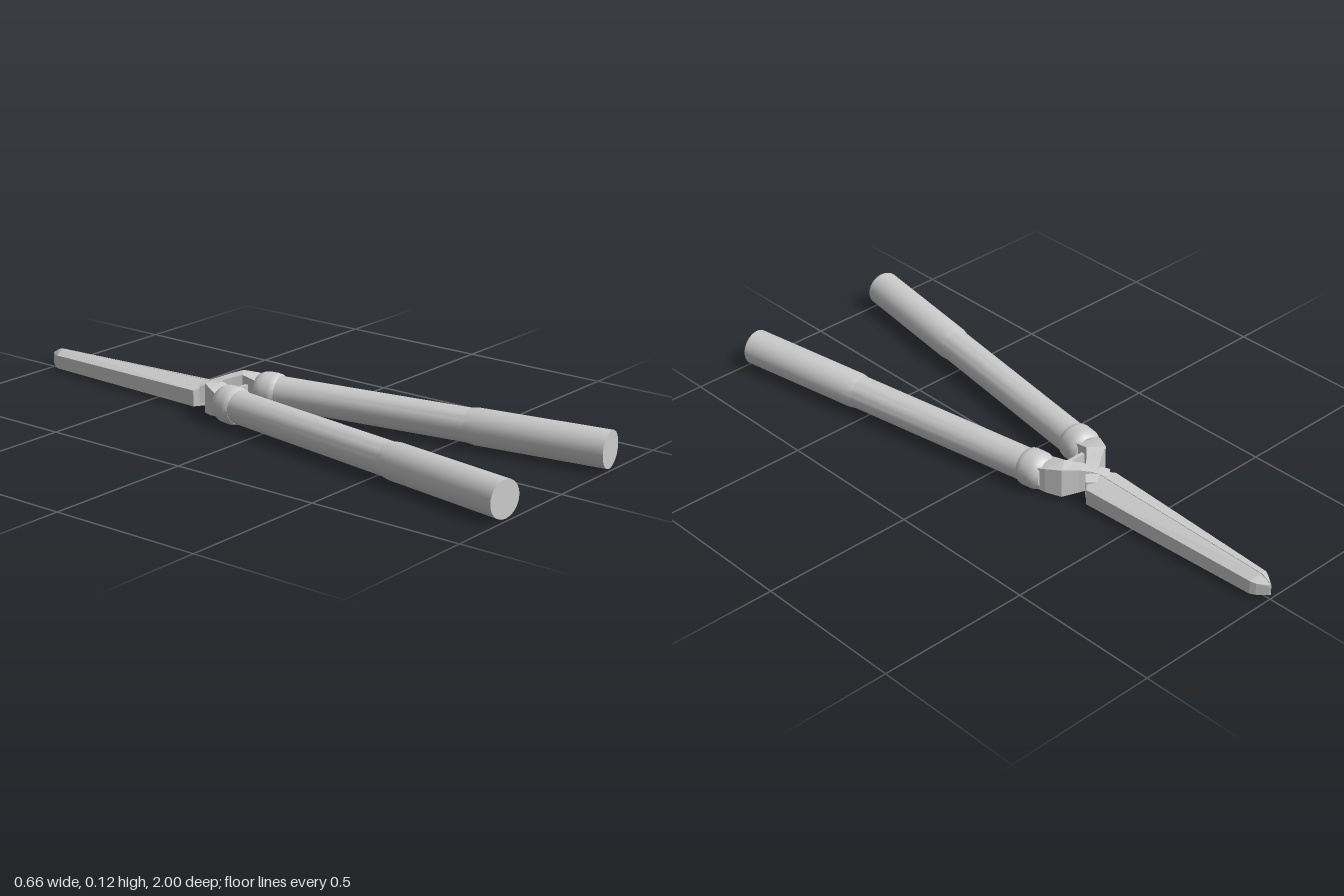
import * as THREE from 'three';
import { toCreasedNormals } from 'three/addons/utils/BufferGeometryUtils.js';

const smooth = new THREE.MeshStandardMaterial({ color: 0xcccccc });
const faceted = new THREE.MeshStandardMaterial({ color: 0xcccccc, flatShading: true });

function add(parent, name, geometry, material) {
  const mesh = new THREE.Mesh(geometry, material);
  mesh.name = name;
  parent.add(mesh);
  return mesh;
}

// Closed solid through a row of equal-length rings of [x, y, z] points
function loft(rings) {
  const n = rings[0].length, tris = [];
  for (let i = 0; i < rings.length - 1; i++) {
    for (let j = 0; j < n; j++) {
      const k = (j + 1) % n, a = rings[i], b = rings[i + 1];
      tris.push([a[j], a[k], b[k]], [a[j], b[k], b[j]]);
    }
  }
  const first = rings[0], last = rings[rings.length - 1];
  for (let j = 1; j < n - 1; j++) {
    tris.push([first[0], first[j + 1], first[j]], [last[0], last[j], last[j + 1]]);
  }
  // Turn the faces outward whichever way the rings run
  const v = (p) => new THREE.Vector3(...p);
  const volume = tris.reduce((s, [a, b, c]) => s + v(a).dot(v(b).cross(v(c))), 0);
  if (volume < 0) tris.forEach((t) => t.reverse());
  const g = new THREE.BufferGeometry();
  g.setAttribute('position', new THREE.Float32BufferAttribute(tris.flat(2), 3));
  g.computeVertexNormals();
  return g;
}

// Round handle from a radius profile along its axis
function addRound(parent, name, profile, start, end) {
  const points = profile.map(([r, t]) => new THREE.Vector2(r, t));
  const geometry = toCreasedNormals(new THREE.LatheGeometry(points, 32), 0.6);
  const mesh = add(parent, name, geometry, smooth);
  mesh.position.copy(start);
  mesh.quaternion.setFromUnitVectors(new THREE.Vector3(0, 1, 0), end.clone().sub(start).normalize());
}

function createHalf(side) {
  const half = new THREE.Group();
  half.name = side > 0 ? 'leftHalf' : 'rightHalf';

  // Handle: ferrule, shaft and thicker grip share one axis
  const start = new THREE.Vector3(side * 0.087, 0.06, -0.182);
  const end = new THREE.Vector3(side * 0.273, 0.06, 0.99);
  const length = start.distanceTo(end);
  addRound(half, 'ferrule', [[0, 0], [0.046, 0], [0.052, 0.006], [0.059, 0.022], [0.06, 0.035],
    [0.06, 0.06], [0.058, 0.072], [0.053, 0.08], [0, 0.08]], start, end);
  addRound(half, 'shaft', [[0, 0.07], [0.052, 0.07], [0.053, 0.76], [0, 0.76]], start, end);
  addRound(half, 'grip', [[0, 0.735], [0.053, 0.735], [0.057, 0.76], [0.058, length], [0, length]], start, end);

  // Tang: [x, z, half width, bottom, top], bending inward and crossing the middle
  const path = [
    [0.09, -0.165, 0.04, 0.025, 0.095],
    [0.083, -0.195, 0.036, 0.018, 0.102],
    [0.07, -0.233, 0.029, 0.012, 0.108],
    [0.035, -0.258, 0.022, 0.018, 0.1],
    [0, -0.285, 0.02, 0.028, 0.09],
    [-0.035, -0.325, 0.022, 0.02, 0.075],
  ];
  const tang = path.map(([x, z, w, lo, hi], i) => {
    const a = path[Math.max(i - 1, 0)], b = path[Math.min(i + 1, path.length - 1)];
    const dx = b[0] - a[0], dz = b[1] - a[1], l = Math.hypot(dx, dz);
    const nx = (-dz / l) * w, nz = (dx / l) * w;
    return [[side * (x - nx), lo, z - nz], [side * (x + nx), lo, z + nz],
      [side * (x + nx), hi, z + nz], [side * (x - nx), hi, z - nz]];
  });
  add(half, 'tang', loft(tang), faceted);

  // Blade: [outer x, z at middle, z at outside, bottom, outer top, ridge top]
  const inner = 0.0008;
  const blade = [
    [0.064, -0.285, -0.325, 0.01, 0.062, 0.084],
    [0.034, -0.96, -0.95, 0.01, 0.054, 0.07],
    [0.026, -0.975, -0.967, 0.011, 0.05, 0.065],
    [0.004, -1, -0.998, 0.015, 0.045, 0.05],
  ].map(([x, zIn, zOut, lo, hi, ridge]) => [
    [-side * inner, lo, zIn], [-side * x, lo, zOut], [-side * x, hi, zOut], [-side * inner, ridge, zIn],
  ]);
  add(half, 'blade', loft(blade), faceted);

  // Stop: short nub reaching from the tang toward the middle
  const stop = add(half, 'stop', new THREE.BoxGeometry(0.05, 0.04, 0.012), faceted);
  stop.position.set(side * 0.025, 0.06, -0.2);
  return half;
}

export function createModel() {
  const model = new THREE.Group();
  model.name = 'hedgeShears';
  for (const side of [1, -1]) model.add(createHalf(side));
  return model;
}
